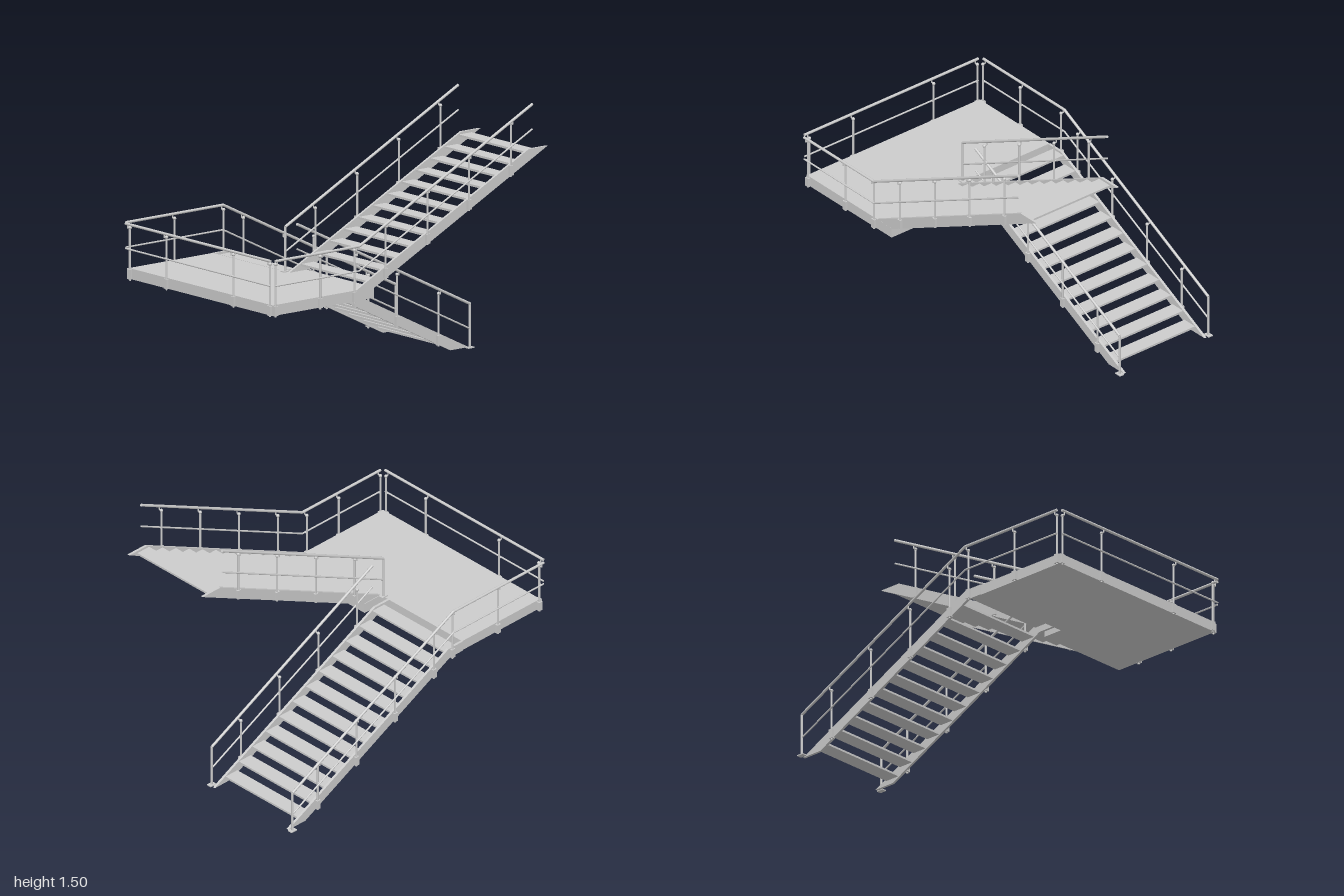
import * as THREE from 'three';

const SLOPE = 0.504;
const grey = new THREE.MeshStandardMaterial({ color: 0xcccccc });

function add(parent, name, geometry, x = 0, y = 0, z = 0) {
  const mesh = new THREE.Mesh(geometry, grey);
  mesh.name = name;
  mesh.position.set(x, y, z);
  parent.add(mesh);
  return mesh;
}

function box(parent, name, w, h, d, x, y, z) {
  return add(parent, name, new THREE.BoxGeometry(w, h, d), x, y, z);
}

// Round bar through a list of [x, y, z] points, with rounded elbows
function bar(parent, name, points, r) {
  const p = points.map((a) => new THREE.Vector3(...a));
  for (let i = 0; i + 1 < p.length; i++) {
    const dir = p[i + 1].clone().sub(p[i]);
    const m = add(parent, name, new THREE.CylinderGeometry(r, r, dir.length(), 12));
    m.position.copy(p[i]).addScaledVector(dir, 0.5);
    m.quaternion.setFromUnitVectors(new THREE.Vector3(0, 1, 0), dir.normalize());
    if (i > 0) add(parent, name + 'Elbow', new THREE.SphereGeometry(r, 12, 8), ...points[i]);
  }
}

// Top rail and mid rail along the same path
function rails(parent, name, points) {
  bar(parent, name + 'TopRail', points, 0.008);
  bar(parent, name + 'MidRail', points.map(([x, y, z]) => [x, y - 0.14, z]), 0.005);
}

// Post clamped to an edge; (ox, oz) is the offset from the post to its rail
function post(parent, x, z, railY, ox, oz) {
  const g = new THREE.Group();
  g.name = 'railPost';
  parent.add(g);
  const top = railY - 0.022;
  const foot = railY - 0.32;
  bar(g, 'postShaft', [[x, foot, z], [x, top, z]], 0.006);
  box(g, 'postClamp', ox ? 0.02 : 0.026, 0.055, ox ? 0.026 : 0.02, x, foot + 0.035, z);
  add(g, 'postCap', new THREE.SphereGeometry(0.01, 12, 8), x, top, z);
  bar(g, 'railBracket', [[x, top, z], [x + ox, top, z + oz], [x + ox, railY, z + oz]], 0.004);
  bar(g, 'midRailBracket', [[x, railY - 0.14, z], [x + ox, railY - 0.14, z + oz]], 0.004);
}

// Standing end post on a base plate
function endPost(parent, x, z, floor, railY) {
  bar(parent, 'endPost', [[x, floor, z], [x, railY, z]], 0.007);
  box(parent, 'basePlate', 0.03, 0.006, 0.042, x, floor + 0.003, z);
}

// Side plate drawn as [z, y] corners, extruded across x
function stringer(parent, corners, x) {
  const shape = new THREE.Shape(corners.map(([z, y]) => new THREE.Vector2(-z, y)));
  const g = new THREE.ExtrudeGeometry(shape, { depth: 0.015, bevelEnabled: false });
  g.rotateY(Math.PI / 2);
  add(parent, 'stringer', g, x - 0.0075, 0, 0);
}

function flight(name, centerX, corners, firstZ, firstY, stepZ) {
  const g = new THREE.Group();
  g.name = name;
  for (const s of [-1, 1]) stringer(g, corners, centerX + s * 0.289);
  for (let i = 0; i < 12; i++) {
    box(g, 'tread', 0.565, 0.012, 0.09, centerX, firstY + i * 0.0517, firstZ + i * stepZ);
  }
  return g;
}

export function createModel() {
  const model = new THREE.Group();
  model.name = 'switchbackStaircase';

  // Landing, deeper under the upper flight
  const plan = [[-0.614, 0.97], [0.622, 0.97], [0.622, 0.245], [0.025, 0.245], [0.025, 0.37], [-0.614, 0.37]];
  const slab = new THREE.ExtrudeGeometry(
    new THREE.Shape(plan.map(([x, z]) => new THREE.Vector2(x, -z))),
    { depth: 0.06, bevelEnabled: false }
  );
  slab.rotateX(-Math.PI / 2);
  add(model, 'landing', slab, 0, 0.56, 0);

  // Flights
  const lowerX = -0.3225;
  const upperX = 0.325;
  model.add(flight('lowerFlight', lowerX,
    [[-0.84, 0], [-0.97, 0], [0.26, 0.62], [0.37, 0.62], [0.37, 0.56], [0.271, 0.56]],
    -0.843, 0.033, 0.1026));
  model.add(flight('upperFlight', upperX,
    [[0.37, 0.62], [-0.86, 1.24], [-0.995, 1.24], [0.24, 0.618]],
    0.241, 0.652, -0.1026));

  const railY = 0.872;
  const lowerRailY = (z) => railY + (z - 0.275) * SLOPE;
  const upperRailY = (z) => railY + (0.37 - z) * SLOPE;
  const railOff = 0.318;
  const postOff = 0.302;

  // Lower flight railings, the outer one carrying on along the landing
  const lower = new THREE.Group();
  lower.name = 'lowerRailings';
  model.add(lower);
  for (const s of [-1, 1]) {
    const x = lowerX + s * railOff;
    const path = [[x, lowerRailY(-0.96), -0.96], [x, railY, 0.275]];
    if (s < 0) path.push([x, railY, 0.97]);
    rails(lower, 'lower', path);
    endPost(lower, x, -0.96, 0, lowerRailY(-0.96));
    for (const z of [-0.75, -0.453, -0.155, 0.143]) {
      post(lower, lowerX + s * postOff, z, lowerRailY(z), s * 0.016, 0);
    }
  }
  for (const z of [0.285, 0.635, 0.955]) post(lower, lowerX - postOff, z, railY, -0.016, 0);

  // Upper flight railings, the outer one starting along the landing
  const upper = new THREE.Group();
  upper.name = 'upperRailings';
  model.add(upper);
  for (const s of [-1, 1]) {
    const x = upperX + s * railOff;
    const path = [[x, railY, 0.37], [x, upperRailY(-0.868), -0.868]];
    if (s > 0) path.unshift([x, railY, 0.97]);
    rails(upper, 'upper', path);
    for (const z of [0.167, -0.132, -0.43, -0.728]) {
      post(upper, upperX + s * postOff, z, upperRailY(z), s * 0.016, 0);
    }
  }
  endPost(upper, upperX - railOff, 0.37, 0.62, railY);
  for (const z of [0.39, 0.635, 0.955]) post(upper, upperX + postOff, z, railY, 0.016, 0);

  // Front landing railing
  const front = new THREE.Group();
  front.name = 'frontRailing';
  model.add(front);
  rails(front, 'front', [[-0.62, railY, 0.989], [0.625, railY, 0.989]]);
  for (const x of [-0.6, -0.287, 0.289, 0.602]) post(front, x, 0.973, railY, 0, 0.016);

  return model;
}
